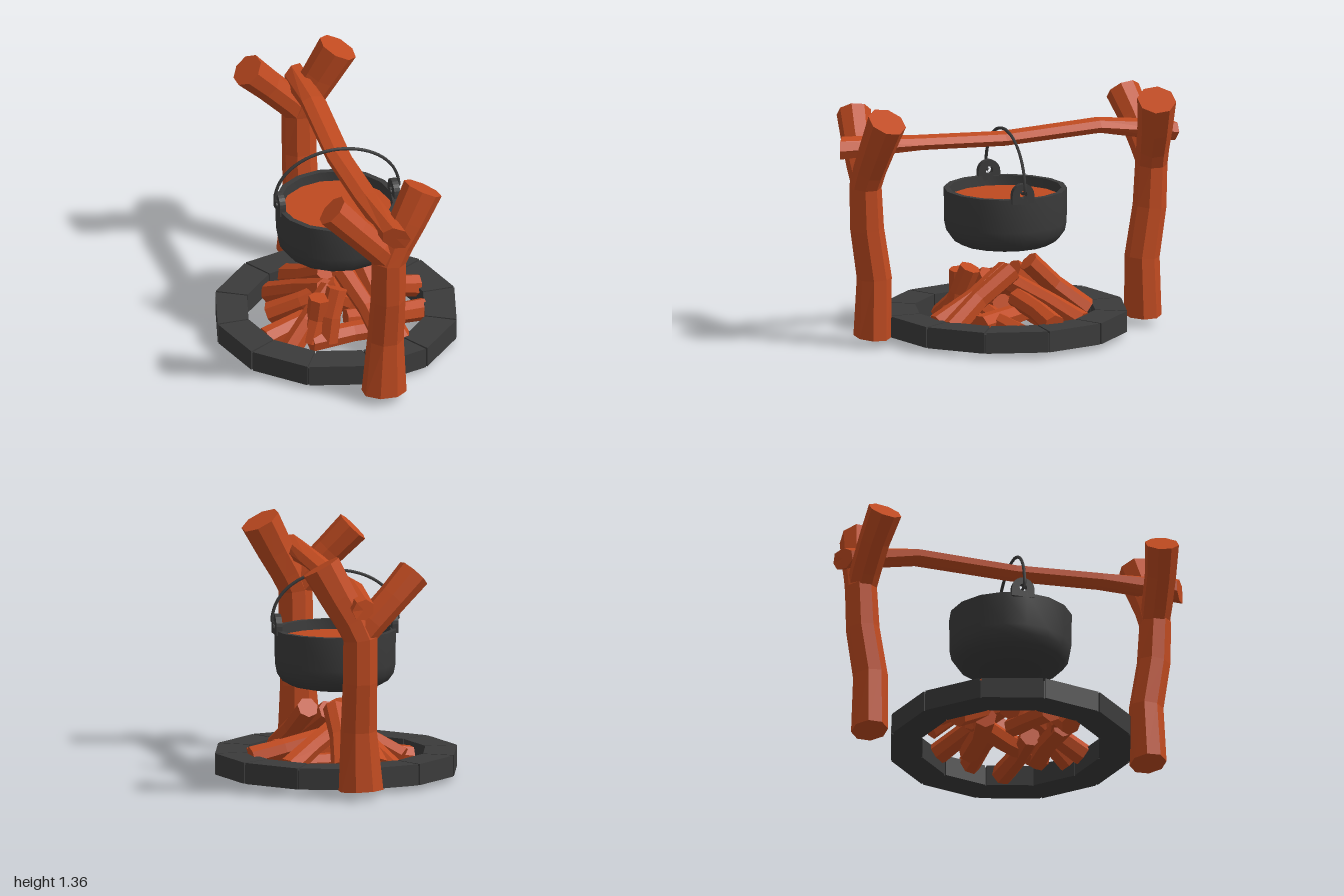
import * as THREE from 'three';
import { toCreasedNormals } from 'three/addons/utils/BufferGeometryUtils.js';

const wood = new THREE.MeshStandardMaterial({ color: 0xbf4a20, flatShading: true });
wood.name = 'wood';
const iron = new THREE.MeshStandardMaterial({ color: 0x3b3b3b });
iron.name = 'dark iron and stone';

// Faceted branch swept through points [x, y, z, radius, widening], with flat cut ends
function limb(name, pts, sides, ref) {
  const P = pts.map((p) => new THREE.Vector3(p[0], p[1], p[2]));
  const last = P.length - 1;
  const rings = P.map((p, i) => {
    const t = P[Math.min(i + 1, last)].clone().sub(P[Math.max(i - 1, 0)]).normalize();
    const u = new THREE.Vector3().crossVectors(ref, t).normalize();
    const v = new THREE.Vector3().crossVectors(t, u);
    const [, , , r, wide = 1] = pts[i];
    return Array.from({ length: sides }, (_, j) => {
      const a = ((j + 0.5) / sides) * Math.PI * 2;
      return p.clone().addScaledVector(u, Math.cos(a) * r * wide).addScaledVector(v, Math.sin(a) * r);
    });
  });
  const tri = [];
  for (let j = 0; j < sides; j++) {
    const k = (j + 1) % sides;
    for (let i = 0; i < last; i++) {
      const [a, b, c, d] = [rings[i][j], rings[i][k], rings[i + 1][k], rings[i + 1][j]];
      tri.push(a, b, c, a, c, d);
    }
    tri.push(P[0], rings[0][k], rings[0][j], P[last], rings[last][j], rings[last][k]);
  }
  const geo = new THREE.BufferGeometry().setFromPoints(tri);
  geo.computeVertexNormals();
  const mesh = new THREE.Mesh(geo, wood);
  mesh.name = name;
  return mesh;
}

const X = new THREE.Vector3(1, 0, 0), Y = new THREE.Vector3(0, 1, 0), Z = new THREE.Vector3(0, 0, 1);

// Forked post; side = 1 is the front one, -1 the back one
function forkedPost(side) {
  const g = new THREE.Group();
  g.name = side > 0 ? 'frontPost' : 'backPost';
  const shift = side > 0 ? 0 : 0.04;
  const at = (x, y, z, r, wide) => [x, y, side * (z + shift), r, wide];
  g.add(limb('trunk', [
    at(0.032, 0.066, 0.778, 0.1, 1.28), at(0.043, 0.4, 0.77, 0.096, 1.06), at(0.045, 0.68, 0.813, 0.093, 1.04),
    at(0.046, 0.92, 0.823, 0.088, 1.1), at(0.09, 1.02, 0.815, 0.09, 1.1), at(0.165, 1.15, 0.8, 0.097, 1.08),
    at(0.257, 1.322, 0.775, 0.107, 1.07),
  ], 8, Z));
  g.add(limb('branch', [
    at(0.05, 0.93, 0.82, 0.082), at(-0.02, 1.012, 0.815, 0.086), at(-0.143, 1.14, 0.8, 0.088),
    at(-0.267, 1.27, 0.773, 0.096),
  ], 8, Z));
  return g;
}

// Wedge of the hearth between two radii, spanning an angle of 2 * half
function wedge(inner, outer, half, height) {
  const c = Math.cos(half), s = Math.sin(half);
  const corners = [[inner * c, -inner * s], [outer * c, -outer * s], [outer * c, outer * s], [inner * c, inner * s]];
  const shape = new THREE.Shape(corners.map(([x, y]) => new THREE.Vector2(x, y)));
  return new THREE.ExtrudeGeometry(shape, { depth: height, bevelEnabled: false }).rotateX(-Math.PI / 2);
}

// Hearth ring: stones with narrow grooves over a closed core
function stoneRing() {
  const g = new THREE.Group();
  g.name = 'stoneRing';
  const parts = [
    ['stone', wedge(0.503, 0.681, Math.PI / 12 - 0.009, 0.118)],
    ['core', wedge(0.511, 0.673, Math.PI / 12, 0.105)],
  ];
  for (let i = 0; i < 12; i++) {
    for (const [name, geo] of parts) {
      const mesh = new THREE.Mesh(geo, iron);
      mesh.name = name;
      mesh.rotation.y = ((i + 0.5) / 12) * Math.PI * 2;
      g.add(mesh);
    }
  }
  g.position.set(0, 0.046, -0.018);
  return g;
}

function cauldron() {
  const g = new THREE.Group();
  g.name = 'cauldron';
  const profile = [[0, 0.508], [0.17, 0.512], [0.25, 0.53], [0.298, 0.558], [0.328, 0.6], [0.338, 0.65],
    [0.341, 0.84], [0.31, 0.84], [0.305, 0.75]].map(([x, y]) => new THREE.Vector2(x, y));
  const pot = new THREE.Mesh(toCreasedNormals(new THREE.LatheGeometry(profile, 16), 0.9), iron);
  pot.name = 'pot';
  const broth = new THREE.Mesh(new THREE.CircleGeometry(0.308, 16).rotateX(-Math.PI / 2), wood);
  broth.name = 'stew';
  broth.position.y = 0.785;
  g.add(pot, broth);

  // Pierced lugs on both sides
  for (const side of [1, -1]) {
    const s = new THREE.Shape();
    s.moveTo(-0.064, -0.05);
    s.lineTo(0.064, -0.05);
    s.absarc(0, 0, 0.064, 0, Math.PI);
    const hole = new THREE.Path();
    hole.absarc(0, 0.005, 0.022, 0, Math.PI * 2, true);
    s.holes.push(hole);
    const geo = new THREE.ExtrudeGeometry(s, { depth: 0.034, bevelEnabled: false, curveSegments: 5 });
    geo.translate(0, 0, -0.017).rotateY(Math.PI / 2);
    const lug = new THREE.Mesh(geo, iron);
    lug.name = 'lug';
    lug.position.set(side * 0.323, 0.865, side * 0.022);
    g.add(lug);
  }

  // Wire handle, hung over the crossbar
  const arc = [new THREE.Vector3(0.3, 0.87, 0.018)];
  for (let i = 0; i <= 12; i++) {
    const a = -0.08 + (i / 12) * (Math.PI + 0.16);
    arc.push(new THREE.Vector3(0.35 * Math.cos(a), 0.9 + 0.265 * Math.sin(a), 0.018 * Math.cos(a)));
  }
  arc.push(new THREE.Vector3(-0.3, 0.87, -0.018));
  const handle = new THREE.Mesh(new THREE.TubeGeometry(new THREE.CatmullRomCurve3(arc), 36, 0.009, 6), iron);
  handle.name = 'handle';
  g.add(handle);
  g.position.set(0.005, 0, -0.018);
  return g;
}

// Pile of logs, each from outer end to inner end
function firewood() {
  const g = new THREE.Group();
  g.name = 'firewood';
  const logs = [
    [0.255, 0.12, 0.39, 0.155, 0.4, 0],
    [0.16, 0.13, 0.44, 0.04, 0.38, -0.01],
    [0.06, 0.13, -0.47, 0.04, 0.42, -0.14],
    [0.5, 0.15, -0.12, 0.1, 0.23, -0.05],
    [0.48, 0.11, 0.07, 0.02, 0.14, 0.1],
    [0.34, 0.12, -0.34, 0, 0.3, -0.05],
    [-0.14, 0.13, -0.47, -0.04, 0.36, -0.08],
    [-0.265, 0.075, -0.4, -0.08, 0.32, 0.04],
    [-0.35, 0.12, -0.12, 0, 0.31, 0.02],
    [-0.44, 0.09, 0.09, 0, 0.18, 0],
    [-0.35, 0.063, 0.23, -0.06, 0.33, 0.06],
    [-0.22, 0.1, 0.21, -0.16, 0.36, 0.19],
    [-0.12, 0.1, 0.22, -0.05, 0.39, 0.17],
    [-0.22, 0.11, 0.22, 0.25, 0.115, 0.2],
    [-0.2, 0.12, -0.22, 0.27, 0.115, -0.18],
    [0.28, 0.13, 0.24, -0.08, 0.15, -0.26],
  ];
  logs.forEach(([a, b, c, d, e, f], i) => {
    const bend = i % 2 ? 0.015 : -0.015;
    g.add(limb('log', [
      [a, b, c, 0.064],
      [(a + d) / 2 + bend, (b + e) / 2, (c + f) / 2 - bend, 0.058],
      [d, e, f, 0.06],
    ], 7, Math.abs(a - d) > Math.abs(c - f) ? Z : X));
  });
  return g;
}

export function createModel() {
  const model = new THREE.Group();
  model.name = 'campfire';

  // Broad flattened crossbar with slanted ends
  const bar = limb('crossbar', [
    [0.045, 1.143, 0.965, 0.066, 1.1], [0.02, 1.135, 0.5, 0.042, 1.75], [0.012, 1.118, 0, 0.041, 1.75],
    [0.035, 1.155, -0.55, 0.044, 1.65], [0.05, 1.098, -0.965, 0.062, 1.15],
  ], 7, Y);
  const p = bar.geometry.attributes.position;
  for (let i = 0; i < p.count; i++) {
    const z = p.getZ(i);
    if (Math.abs(z) > 0.85) p.setZ(i, THREE.MathUtils.clamp(z + Math.sign(z) * (p.getX(i) - 0.045) * 0.6, -1, 1));
  }
  bar.geometry.computeVertexNormals();

  model.add(forkedPost(1), forkedPost(-1), bar, stoneRing(), cauldron(), firewood());
  return model;
}
